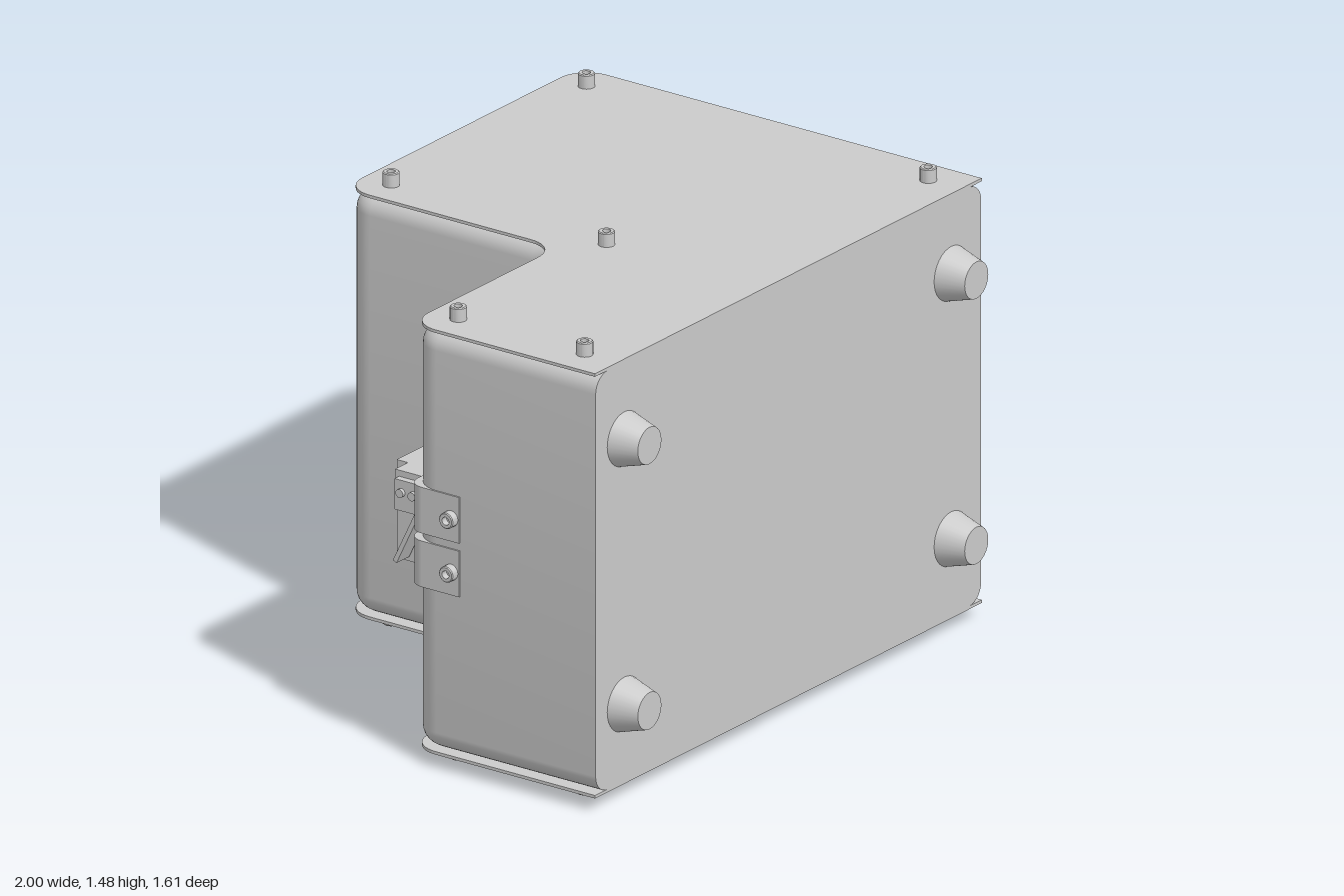
import * as THREE from 'three';
import { toCreasedNormals } from 'three/addons/utils/BufferGeometryUtils.js';

const grey = new THREE.MeshStandardMaterial({ color: 0xcccccc, side: THREE.DoubleSide });
const Y0 = 0.055, Y1 = 1.42, ROUND = 0.06, ARC = 10;
const HOLE = { x: 0.39, y: 1.145, r: 0.063 };

// L-shaped footprint, inset by d everywhere except at the flat front; (x, -z) plane
function outline(d) {
  const pts = [new THREE.Vector2(-0.97 + d, -0.71), new THREE.Vector2(1 - d, -0.71)];
  const corners = [[0.9, 0.7, -1, 0, 1], [-0.11, 0.7, -1, 1, 2], [-0.31, 0.09, 1, 0, -1], [-0.87, -0.11, -1, 1, 2]];
  for (const [cx, cy, sign, a0, a1] of corners) {
    for (let i = 0; i <= ARC; i++) {
      const a = (a0 + (a1 - a0) * i / ARC) * Math.PI / 2, r = 0.1 + sign * d;
      pts.push(new THREE.Vector2(cx + r * Math.cos(a), cy + r * Math.sin(a)));
    }
  }
  return pts;
}

// Stacked outlines with rounded upper and lower edges; the back wall is left open
function bodyGeometry() {
  const rings = [], steps = 7;
  for (let i = 0; i <= steps; i++) {
    const t = i / steps * Math.PI / 2;
    rings.push([ROUND * (1 - Math.sin(t)), Y0 + ROUND * (1 - Math.cos(t))]);
  }
  for (let i = steps; i >= 0; i--) rings.push([rings[i][0], Y0 + Y1 - rings[i][1]]);
  const loops = rings.map(([d, y]) => outline(d + 0.003).map(p => [p.x, y, -p.y]));
  const pos = [], n = loops[0].length, backEdge = 2 + ARC;
  for (let k = 0; k < loops.length - 1; k++) {
    for (let i = 0; i < n; i++) {
      if (k === steps && i === backEdge) continue;
      const j = (i + 1) % n, a = loops[k], b = loops[k + 1];
      pos.push(...a[i], ...a[j], ...b[j], ...a[i], ...b[j], ...b[i]);
    }
  }
  const g = new THREE.BufferGeometry();
  g.setAttribute('position', new THREE.Float32BufferAttribute(pos, 3));
  return toCreasedNormals(g, 0.6);
}

// Rectangle with the round finger hole
function holedRect(x0, x1, y0, y1) {
  const s = new THREE.Shape([[x0, y0], [x1, y0], [x1, y1], [x0, y1]].map(p => new THREE.Vector2(...p)));
  s.holes.push(new THREE.Path().absarc(HOLE.x, HOLE.y, HOLE.r, 0, Math.PI * 2, true));
  return s;
}

export function createModel() {
  const root = new THREE.Group();
  const add = (name, geo, x = 0, y = 0, z = 0, parent = root) => {
    const m = new THREE.Mesh(geo, grey);
    m.name = name;
    m.position.set(x, y, z);
    parent.add(m);
    return m;
  };
  const box = (name, x0, x1, y0, y1, z0, z1) =>
    add(name, new THREE.BoxGeometry(x1 - x0, y1 - y0, z1 - z0), (x0 + x1) / 2, (y0 + y1) / 2, (z0 + z1) / 2);

  // Housing and back wall
  add('housing', bodyGeometry());
  add('backWall', new THREE.ShapeGeometry(holedRect(-0.11, 0.9, Y0 + ROUND, Y1 - ROUND), 24), 0, 0, -0.797);

  // Top and bottom cover plates
  const plate = new THREE.ExtrudeGeometry(new THREE.Shape(outline(0)), { depth: 0.01, bevelEnabled: false });
  plate.rotateX(-Math.PI / 2);
  add('topPlate', plate, 0, Y1, 0);
  add('bottomPlate', plate, 0, Y0 - 0.01, 0);

  // Back access panel with recessed finger hole
  add('accessPanel', new THREE.ExtrudeGeometry(holedRect(0.18, 0.605, 0.11, 1.365),
    { depth: 0.012, bevelEnabled: false, curveSegments: 24 }), 0, 0, -0.81);
  const cup = new THREE.CylinderGeometry(HOLE.r, HOLE.r, 0.05, 24, 1, true).rotateX(Math.PI / 2);
  add('fingerHoleWall', cup, HOLE.x, HOLE.y, -0.775);
  add('fingerHoleFloor', new THREE.CircleGeometry(HOLE.r, 24), HOLE.x, HOLE.y, -0.75);

  // Socket-head screws through both plates
  const screwProfile = [[0, 0.022], [0.013, 0.022], [0.013, 0.045], [0.023, 0.045], [0.026, 0.042], [0.026, 0]];
  const screw = toCreasedNormals(new THREE.LatheGeometry(
    screwProfile.map(p => new THREE.Vector2(...p)).reverse(), 20), 0.6);
  for (const [x, z] of [[-0.86, 0.115], [-0.105, 0.115], [-0.86, 0.59], [0.89, 0.59], [0.89, -0.695], [-0.105, -0.695]]) {
    add('topScrew', screw, x, 1.43, z);
    add('bottomScrew', screw, x, 0.045, z).rotation.x = Math.PI;
  }

  // Tapered feet on the front face
  const foot = new THREE.CylinderGeometry(0.06, 0.088, 0.095, 32).rotateX(Math.PI / 2);
  for (const x of [-0.82, 0.845]) for (const y of [0.305, 1.17]) add('foot', foot, x, y, 0.757);

  // Corner brackets with side screws
  const bracket = new THREE.Shape();
  bracket.moveTo(-0.88, -0.2);
  bracket.lineTo(-0.972, -0.2);
  bracket.lineTo(-0.972, -0.06);
  bracket.absarc(-0.917, -0.06, 0.055, Math.PI, Math.PI / 2, true);
  bracket.lineTo(-0.8, -0.005);
  bracket.lineTo(-0.8, -0.03);
  const bracketGeo = new THREE.ExtrudeGeometry(bracket, { depth: 0.15, bevelEnabled: false }).rotateX(-Math.PI / 2);
  for (const y of [0.655, 0.83]) {
    add('cornerBracket', bracketGeo, 0, y - 0.075, 0);
    add('sideScrew', screw, -0.955, y, 0.17).rotation.z = Math.PI / 2;
  }

  // Latch unit on the step wall
  box('latchBlock', -0.805, -0.645, 0.57, 0.89, -0.157, 0.01);
  box('latchHead', -0.87, -0.8, 0.79, 0.89, -0.115, 0.01);
  box('latchPlate', -0.893, -0.865, 0.77, 0.87, -0.1, 0.01);
  for (const z of [-0.075, -0.03]) {
    add('latchPin', new THREE.CylinderGeometry(0.014, 0.014, 0.02, 16).rotateZ(Math.PI / 2), -0.894, 0.83, z);
  }
  // Slanted lever
  const lever = box('latchLever', -0.875, -0.81, 0.58, 0.79, -0.075, -0.06);
  lever.rotation.x = 0.45;
  return root;
}
